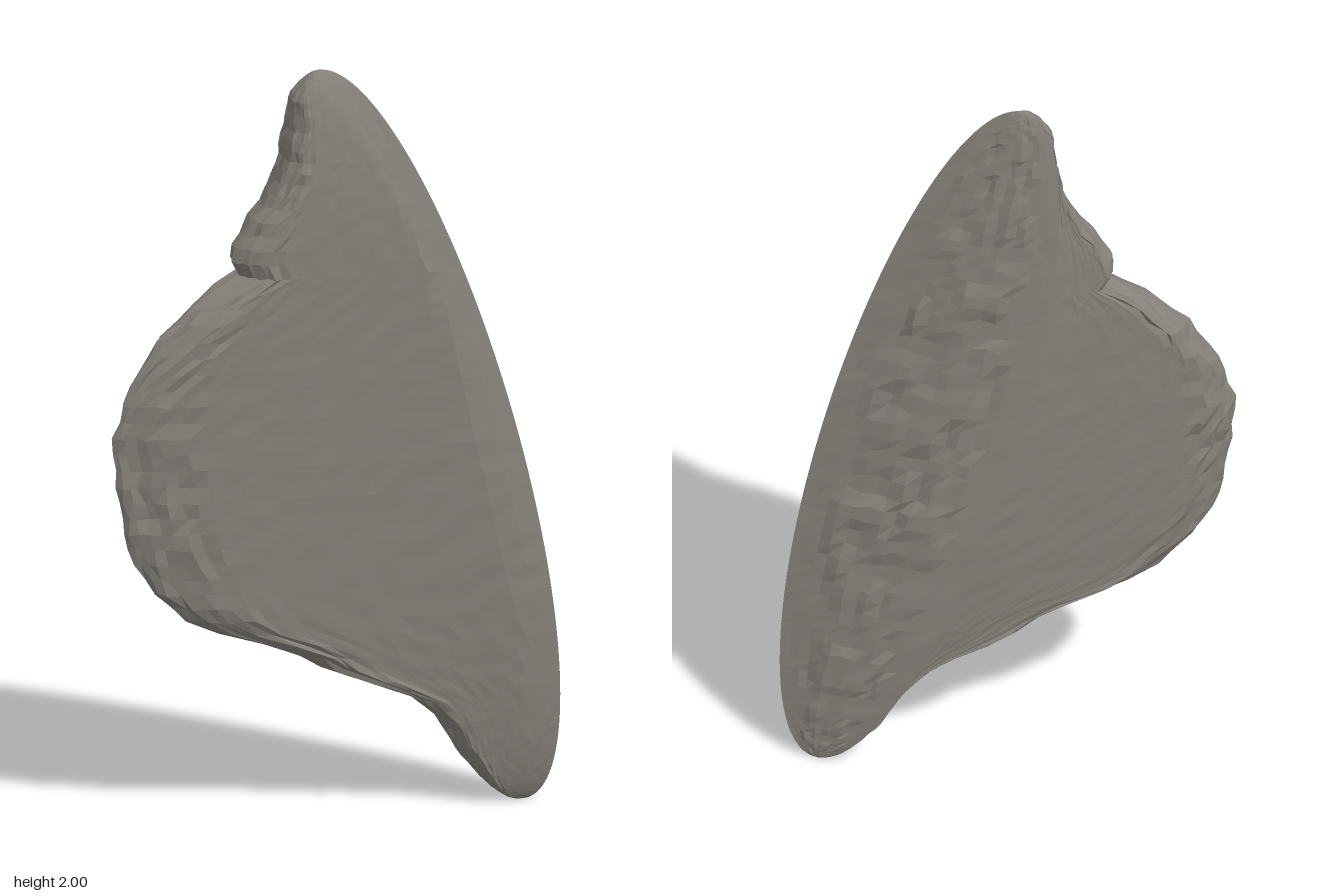
import * as THREE from 'three';

const ROWS = 72;

// left outline, as [y, x] from the bottom tip to the top tip
const OUTLINE = [
  [0, 0.5], [0.04, 0.43], [0.1, 0.38], [0.2, 0.32], [0.29, 0.22], [0.345, 0.08], [0.4, -0.05],
  [0.44, -0.12], [0.49, -0.28], [0.54, -0.4], [0.6, -0.46], [0.68, -0.53], [0.8, -0.565],
  [0.95, -0.592], [1.05, -0.59], [1.2, -0.545], [1.3, -0.47], [1.4, -0.37], [1.46, -0.25],
  [1.51, -0.285], [1.56, -0.26], [1.65, -0.19], [1.7, -0.15], [1.84, -0.12], [1.93, -0.112],
  [1.98, -0.075], [2, -0.03],
];
// half thickness against distance from the broken face
const FRONT = [[0, 0.09], [0.1, 0.115], [0.45, 0.087], [0.85, 0.06], [1.07, 0.035]];
const BACK = [[0, 0.105], [0.1, 0.09], [0.4, 0.062], [0.6, 0.035]];

function sample(table, t) {
  for (let k = 1; k < table.length; k++) {
    const [a, va] = table[k - 1], [b, vb] = table[k];
    if (t <= b) return va + (vb - va) * Math.max(0, (t - a) / (b - a));
  }
  return table[table.length - 1][1];
}

// repeatable noise in -1..1
function noise(i, j, k) {
  const n = Math.sin(i * 127.1 + j * 311.7 + k * 74.7) * 43758.5453;
  return (n - Math.floor(n)) * 2 - 1;
}

// limits of one horizontal slice
function slice(i) {
  const y = 1 - Math.cos(Math.PI * i / ROWS);
  const w = Math.sqrt(Math.max(0, 1 - (y - 1) ** 2));
  const cx = 0.235 - 0.265 * (y - 1);
  const front = cx + 0.24 * w, back = cx - 0.24 * w;
  const left = Math.min(sample(OUTLINE, y) + 0.008 * w * noise(i, 0, 9), back);
  return { y, w, front, back, left };
}

// smooth sides swell quickly from a blunt, chipped left edge
function sidePoint(i, s, isFront) {
  const { y, w, front, back, left } = slice(i);
  const end = isFront ? front : back;
  const x = left + (end - left) * s;
  const swell = Math.sqrt(Math.min(1, s / 0.13));
  const z = w * swell * sample(isFront ? FRONT : BACK, end - x);
  const inner = s > 0 && s < 1 ? 1 : 0;
  const chip = inner * w * (s < 0.2 ? 0.007 : 0.0015);
  const j = Math.round(s * 50) + (isFront ? 0 : 100);
  return [
    x + chip * noise(i, j, 1),
    y + chip * 0.6 * noise(i, j, 2),
    (isFront ? 1 : -1) * (z + chip * noise(i, j, 3)),
  ];
}

// domed rough face joining the front rim to the back rim
function brokenPoint(i, s) {
  const a = sidePoint(i, 1, true), b = sidePoint(i, 1, false), { w } = slice(i);
  const inner = s > 0 && s < 1 ? 1 : 0;
  const dome = 0.035 * w * Math.sin(Math.PI * Math.pow(s, 1.3)) * inner;
  const rough = s > 0.15 && s < 0.85 ? 0.009 * w : 0.002 * w * inner;
  const j = Math.round(s * 50);
  return [
    a[0] + (b[0] - a[0]) * s + dome * 0.3 + rough * noise(i >> 1, j, 4),
    a[1] + rough * noise(i, j, 5),
    a[2] + (b[2] - a[2]) * s - dome + rough * noise(i >> 1, j, 6),
  ];
}

// sheet of triangles from a point rule
function sheet(name, columns, point, material) {
  const positions = [], index = [];
  for (let i = 0; i <= ROWS; i++) {
    for (let j = 0; j <= columns; j++) positions.push(...point(i, j / columns));
  }
  const at = (i, j) => i * (columns + 1) + j;
  for (let i = 0; i < ROWS; i++) {
    for (let j = 0; j < columns; j++) {
      const a = at(i, j), b = at(i, j + 1), c = at(i + 1, j + 1), d = at(i + 1, j);
      index.push(a, b, c, a, c, d);
    }
  }
  const indexed = new THREE.BufferGeometry();
  indexed.setAttribute('position', new THREE.Float32BufferAttribute(positions, 3));
  indexed.setIndex(index);
  const geometry = indexed.toNonIndexed();
  geometry.computeVertexNormals();
  const mesh = new THREE.Mesh(geometry, material);
  mesh.name = name;
  return mesh;
}

export function createModel() {
  const group = new THREE.Group();
  group.name = 'stoneShard';
  const stone = new THREE.MeshStandardMaterial({ color: 0x85817a });
  stone.name = 'grey stone';

  const ease = (s) => Math.pow(s, 1.4); // more columns near the chipped edge
  group.add(sheet('frontSide', 24, (i, s) => sidePoint(i, ease(s), true), stone));
  group.add(sheet('brokenFace', 14, brokenPoint, stone));
  group.add(sheet('backSide', 20, (i, s) => sidePoint(i, ease(1 - s), false), stone));
  return group;
}
